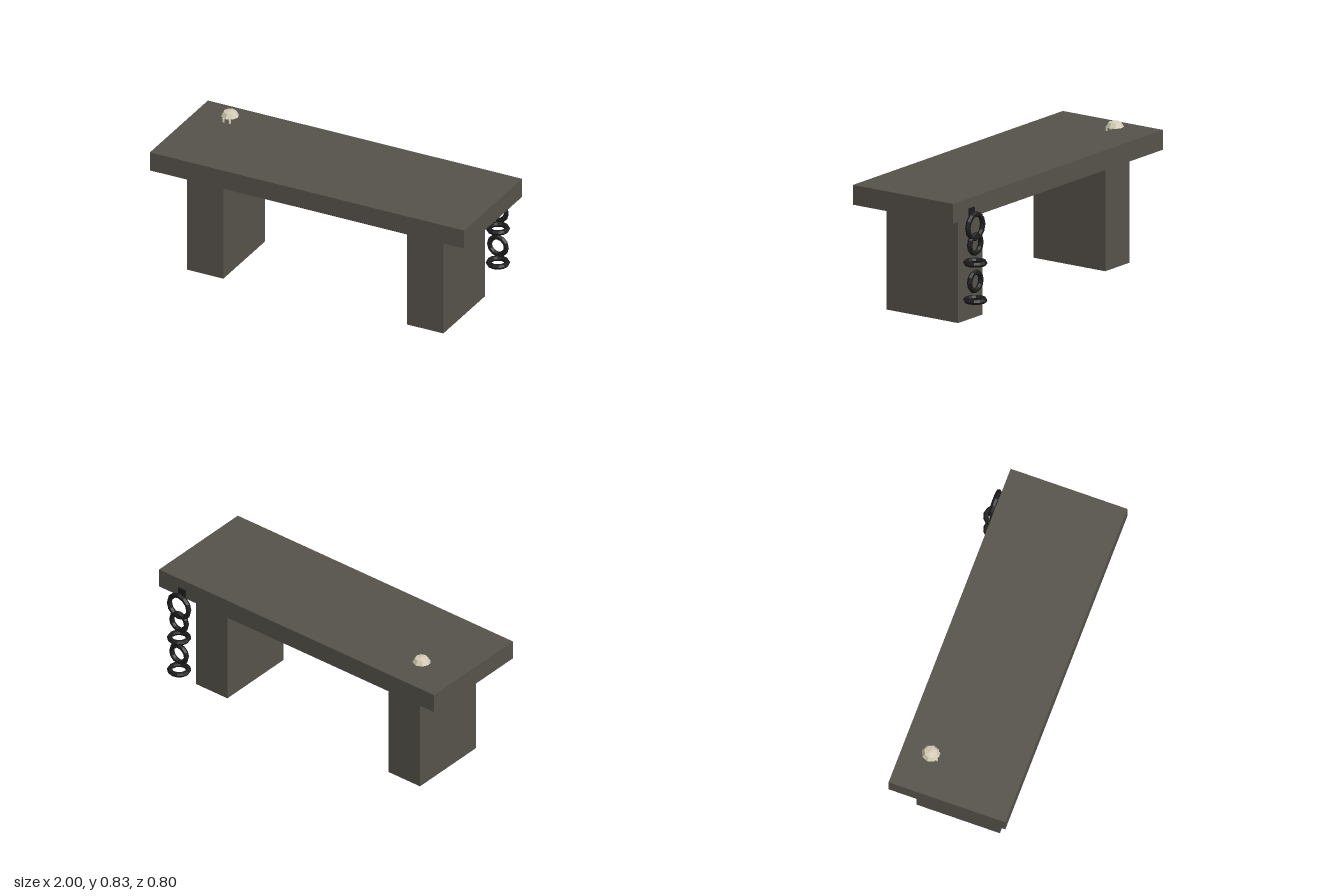
import * as THREE from 'three';

export function createModel() {
  const root = new THREE.Group();
  const mat = (name, color) => {
    const m = new THREE.MeshStandardMaterial({ color });
    m.name = name;
    return m;
  };
  const stone = mat('stone', 0x56524b);
  const iron = mat('iron', 0x1c1c1c);
  const bone = mat('bone', 0xd4ccb6);
  bone.side = THREE.DoubleSide;

  const add = (name, geometry, material, x, y, z, parent = root) => {
    const mesh = new THREE.Mesh(geometry, material);
    mesh.name = name;
    mesh.position.set(x, y, z);
    parent.add(mesh);
    return mesh;
  };
  // Faceted copy of a geometry
  const facet = (g) => {
    const f = g.toNonIndexed();
    f.computeVertexNormals();
    return f;
  };

  // Slab and its two block legs
  add('slab', new THREE.BoxGeometry(2, 0.115, 0.7), stone, 0, 0.6925, 0.05);
  for (const side of [-1, 1]) {
    add(side < 0 ? 'rightLeg' : 'leftLeg', new THREE.BoxGeometry(0.23, 0.635, 0.5), stone, side * 0.7, 0.3175, 0.05);
  }

  // Hanging chain on the back edge
  const chain = new THREE.Group();
  chain.name = 'chain';
  chain.position.set(0.83, 0, -0.33);
  root.add(chain);
  add('chainPlate', new THREE.BoxGeometry(0.05, 0.052, 0.01), iron, 0, 0.666, 0.027, chain);
  const ring = (name, y, outer, flat) => {
    const tube = 0.0155;
    const link = add(name, facet(new THREE.TorusGeometry(outer - tube, tube, 6, 12)), iron, 0, y, 0, chain);
    if (flat) link.rotation.x = Math.PI / 2;
  };
  ring('topRing', 0.588, 0.086, false);
  [0.485, 0.376, 0.267, 0.159].forEach((y, i) => ring('chainLink', y, 0.069, i % 2 === 1));

  // Small bone cap with two pegs below its front edge
  const relic = new THREE.Group();
  relic.name = 'boneRelic';
  relic.position.set(-0.77, 0.792, -0.131);
  root.add(relic);
  const dome = new THREE.SphereGeometry(0.052, 8, 2, 0, Math.PI * 2, 0, Math.PI / 2);
  dome.scale(1, 0.64, 1);
  const p = dome.attributes.position;
  for (let i = 0; i < p.count; i++) {
    // lift the middle ring for a flatter crown
    if (p.getY(i) > 0.01 && p.getY(i) < 0.03) p.setY(i, 0.026);
  }
  add('boneCap', facet(dome), bone, 0, 0, 0, relic);
  for (const side of [-1, 1]) {
    add('bonePeg', facet(new THREE.CylinderGeometry(0.0065, 0.0065, 0.023, 6)), bone, side * 0.02, -0.0155, 0.043, relic);
  }
  return root;
}
